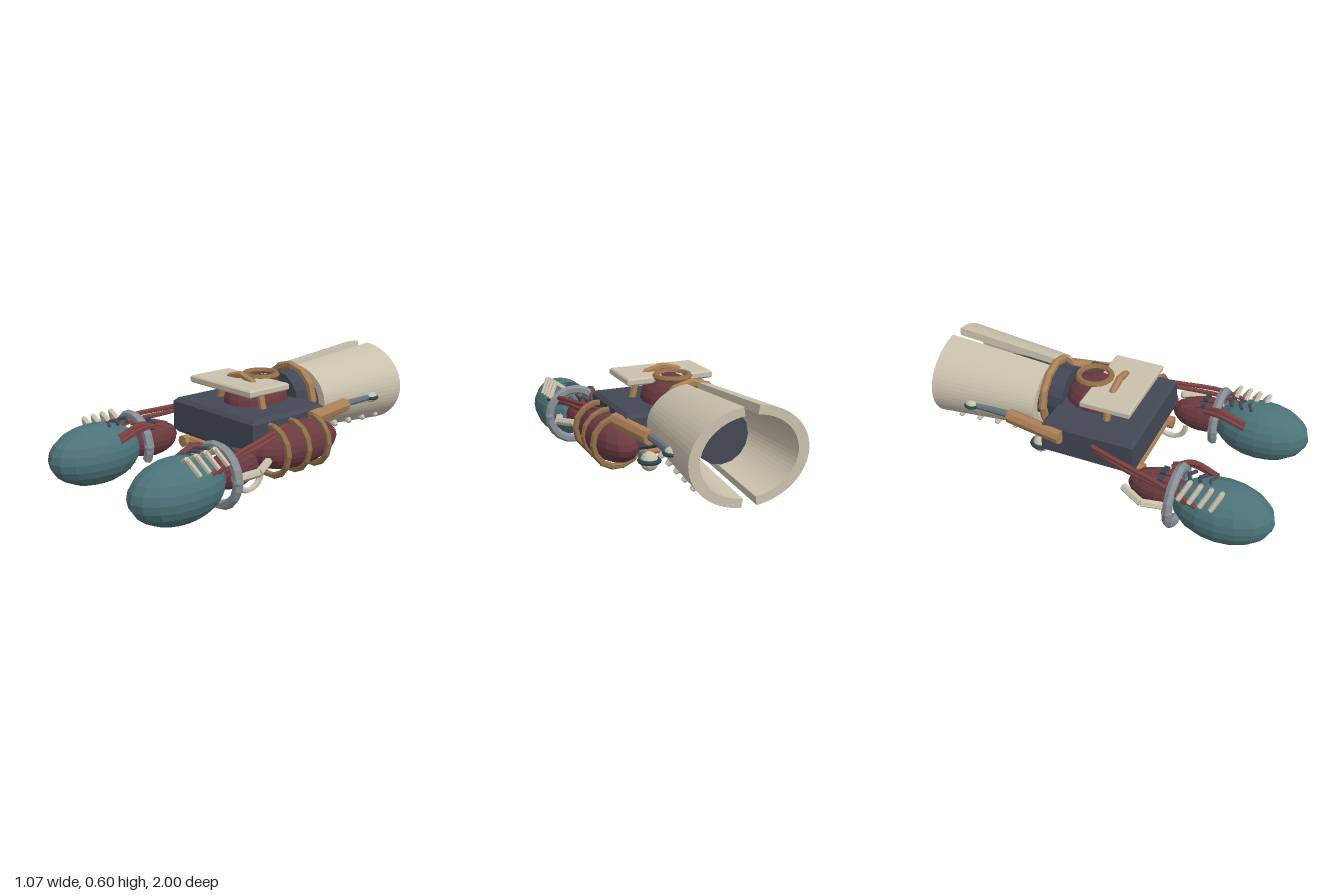
import * as THREE from 'three';

const mat = (name, color) => {
  const m = new THREE.MeshStandardMaterial({ color });
  m.name = name;
  return m;
};
const M = {
  teal: mat('teal', 0x4c7379),
  darkTeal: mat('dark teal', 0x2c4850),
  bone: mat('bone', 0xc9c1ac),
  navy: mat('navy', 0x434855),
  maroon: mat('maroon', 0x6a3a40),
  cord: mat('cord red', 0x7a4040),
  tan: mat('tan', 0xab8056),
  brass: mat('brass', 0x927049),
  grey: mat('grey', 0x889097),
  steel: mat('steel', 0x667280),
};
const V = (x, y, z) => new THREE.Vector3(x, y, z);

export function createModel() {
  const root = new THREE.Group();
  root.name = 'model';

  // Adds a faceted mesh
  const add = (name, geo, material, x = 0, y = 0, z = 0, parent = root) => {
    const g = geo.index ? geo.toNonIndexed() : geo;
    g.computeVertexNormals();
    const mesh = new THREE.Mesh(g, material);
    mesh.name = name;
    mesh.position.set(x, y, z);
    parent.add(mesh);
    return mesh;
  };
  const ball = (name, m, x, y, z, rx, ry, rz, parent, w = 16, h = 12) =>
    add(name, new THREE.SphereGeometry(1, w, h).scale(rx, ry, rz), m, x, y, z, parent);
  const ring = (name, m, x, y, z, R, t, parent, seg = 16, arc = Math.PI * 2, start = 0) =>
    add(name, new THREE.TorusGeometry(R, t, 6, seg, arc).rotateZ(start), m, x, y, z, parent);
  // Straight bar between two points
  const bar = (name, m, a, b, r, parent, sides = 8, r2 = r) => {
    const d = b.clone().sub(a);
    const mesh = add(name, new THREE.CylinderGeometry(r2, r, d.length(), sides), m, 0, 0, 0, parent);
    mesh.position.copy(a).add(b).multiplyScalar(0.5);
    mesh.quaternion.setFromUnitVectors(V(0, 1, 0), d.normalize());
    return mesh;
  };
  const tube = (name, m, pts, r, parent) =>
    add(name, new THREE.TubeGeometry(new THREE.CatmullRomCurve3(pts), 12, r, 6), m, 0, 0, 0, parent);
  // Box with bevelled edges, centred
  const bevelBox = (name, m, w, h, d, b, x, y, z) => {
    const s = new THREE.Shape();
    const X = w / 2 - b, Z = d / 2 - b;
    s.moveTo(-X, -Z).lineTo(X, -Z).lineTo(X, Z).lineTo(-X, Z).closePath();
    const g = new THREE.ExtrudeGeometry(s, { depth: h - 2 * b, bevelSize: b, bevelThickness: b, bevelSegments: 1 });
    return add(name, g.translate(0, 0, b - h / 2).rotateX(-Math.PI / 2), m, x, y, z);
  };

  // Central body and underframe
  bevelBox('body', M.navy, 0.66, 0.2, 0.53, 0.02, 0, 0.295, -0.04);
  bar('frontCrossbar', M.tan, V(-0.24, 0.167, 0.2), V(0.24, 0.167, 0.2), 0.027, root);
  bar('rearCrossbar', M.tan, V(-0.24, 0.167, -0.24), V(0.24, 0.167, -0.24), 0.024, root);

  // Dome, neck and hoops
  ball('dome', M.maroon, 0, 0.385, -0.1, 0.155, 0.15, 0.2, root);
  bar('neck', M.navy, V(0, 0.37, -0.27), V(0, 0.37, -0.72), 0.155, root, 16, 0.14);
  ring('frontHoop', M.tan, 0, 0.37, 0.01, 0.18, 0.02, root, 12);
  ring('collar', M.tan, 0, 0.37, -0.37, 0.18, 0.023, root, 12);
  const topRing = ring('topRing', M.brass, 0, 0.53, -0.135, 0.09, 0.017, root);
  topRing.rotation.x = Math.PI / 2;

  // Top plate on short posts
  bevelBox('topPlate', M.bone, 0.49, 0.04, 0.28, 0.008, 0, 0.508, 0.027);
  for (const s of [-1, 1]) bar('platePost', M.tan, V(s * 0.1, 0.4, -0.08), V(s * 0.1, 0.49, -0.08), 0.014, root);

  // Flared split sleeve: two half shells
  const shell = (s) => {
    const gap = 0.13, a0 = -Math.PI / 2 + gap, a1 = Math.PI / 2 - gap;
    const sh = new THREE.Shape();
    sh.absarc(0, 0, 0.306, a0, a1, false);
    sh.absarc(0, 0, 0.25, a1, a0, true);
    const g = new THREE.ExtrudeGeometry(sh, { depth: 0.61, bevelEnabled: false, curveSegments: 14, steps: 1 });
    if (s < 0) g.rotateZ(Math.PI);
    const p = g.attributes.position;
    for (let i = 0; i < p.count; i++) {
      const t = p.getZ(i) / 0.61;
      const k = 1 - 0.18 * t;
      p.setXY(i, p.getX(i) * k, p.getY(i) * k * (0.785 - 0.025 * t));
    }
    add(s > 0 ? 'leftSleeveHalf' : 'rightSleeveHalf', g, M.bone, 0, 0.362, -1);
  };

  for (const s of [-1, 1]) {
    const side = new THREE.Group();
    side.name = s > 0 ? 'leftSide' : 'rightSide';
    root.add(side);
    shell(s);

    // Studs along the lower sleeve
    for (let i = 0; i < 5; i++) {
      const z = -0.43 - i * 0.112, k = 1 + i * 0.04;
      bar('sleeveStud', M.bone, V(s * 0.165 * k, 0.225, z), V(s * 0.2 * k, 0.196, z), 0.028, side, 8, 0.012);
    }

    // Telescoping strut to the sleeve
    bar('strutSheath', M.tan, V(s * 0.345, 0.34, -0.18), V(s * 0.285, 0.34, -0.52), 0.04, side);
    bar('strutRod', M.steel, V(s * 0.285, 0.345, -0.5), V(s * 0.277, 0.342, -0.76), 0.019, side);
    ball('strutPivot', M.bone, s * 0.28, 0.342, -0.76, 0.033, 0.03, 0.04, side, 10, 8);
    const pr = ring('strutPivotRing', M.darkTeal, s * 0.28, 0.342, -0.76, 0.034, 0.01, side, 12);
    pr.rotation.x = Math.PI / 2;

    // Underframe rail with rear ball joint
    bar('rail', M.tan, V(s * 0.225, 0.165, -0.24), V(s * 0.225, 0.165, 0.25), 0.035, side);
    bar('railRod', M.steel, V(s * 0.225, 0.165, -0.2), V(s * 0.225, 0.16, -0.36), 0.02, side);
    ball('rearBall', M.bone, s * 0.228, 0.158, -0.365, 0.048, 0.052, 0.048, side, 12, 8);
    const br = ring('rearBallRing', M.darkTeal, s * 0.228, 0.163, -0.365, 0.052, 0.012, side, 12);
    br.rotation.x = Math.PI / 2;

    // Pod, forearm and wrist ring
    ball('pod', M.teal, s * 0.358, 0.17, 0.73, 0.165, 0.165, 0.268, side);
    ball('forearm', M.maroon, s * 0.34, 0.185, 0.38, 0.088, 0.098, 0.17, side, 14, 10);
    ring('wristRing', M.grey, s * 0.36, 0.186, 0.485, 0.15, 0.026, side, 16, Math.PI * 5 / 3,
      s > 0 ? Math.PI * 1.5 : Math.PI * 11 / 6);
    for (const e of [-1, 1]) ball('wristBolt', M.grey, s * 0.36 + e * 0.152, 0.19, 0.485, 0.025, 0.025, 0.03, side, 8, 6);

    // Knuckle ribs with dark rods across the pod
    for (let i = 0; i < 4; i++) {
      const z = 0.55 + i * 0.056, d = i * 0.004;
      const a = V(s * 0.49, 0.28 - d, z - 0.02), b = V(s * 0.445, 0.36 - d, z + 0.02), c = V(s * 0.39, 0.322 - d, z + 0.01);
      bar('knuckleOuter', M.bone, a, b, 0.014, side, 6);
      bar('knuckleInner', M.bone, b, c, 0.014, side, 6);
      bar('knuckleRod', M.navy, c, V(s * 0.345, 0.334 - d, z - 0.012), 0.01, side, 6);
      bar('knuckleRod', M.navy, V(s * 0.345, 0.334 - d, z - 0.012), V(s * 0.3, 0.325 - d, z + 0.012), 0.01, side, 6);
    }

    // Forearm tendons with small clasps
    for (let i = -1; i <= 1; i++) {
      const x = s * (0.34 + i * 0.042), dy = -0.016 * Math.abs(i);
      tube('tendon', M.cord, [V(x, 0.25 + dy, 0.27), V(x, 0.288 + dy, 0.38), V(x, 0.3 + dy, 0.49)], 0.012, side);
      add('clasp', new THREE.BoxGeometry(0.03, 0.02, 0.03), M.darkTeal, x, 0.296 + dy, 0.4, side);
    }

    // Inner finger strap beside the pod
    for (const o of [0, 0.022]) {
      tube('innerStrap', M.cord, [V(s * (0.27 - o), 0.28, 0.42), V(s * (0.235 - o / 2), 0.315 - o, 0.52),
        V(s * (0.235 - o / 2), 0.27 - o, 0.66)], 0.016, side);
    }

    // Cords from body to wrist
    for (const o of [0, 0.028]) {
      tube('cord', M.cord, [V(s * 0.345, 0.335 - o / 2, 0), V(s * 0.4, 0.32 - o, 0.22),
        V(s * (0.455 - o / 2), 0.3 - o, 0.46), V(s * (0.475 - o / 2), 0.25 - o, 0.62)], 0.014, side);
    }

    // Bone bracket outside the forearm
    const p = [V(s * 0.44, 0.215, 0.22), V(s * 0.5, 0.2, 0.34), V(s * 0.455, 0.18, 0.47)];
    bar('bracketRear', M.bone, p[0], p[1], 0.022, side, 6);
    bar('bracketFront', M.bone, p[1], p[2], 0.022, side, 6);
  }

  // Banded muscle on the left flank
  ball('flankMuscle', M.maroon, 0.335, 0.225, -0.065, 0.135, 0.125, 0.305, root, 16, 12);
  for (const z of [0.107, -0.043, -0.193]) ring('muscleBand', M.brass, 0.335, 0.222, z, 0.135, 0.018, root, 14);

  // Bone hook under the left front
  const hook = ring('hook', M.bone, 0.29, 0.105, 0.215, 0.088, 0.016, root, 14, Math.PI * 1.15, Math.PI * 0.93);
  hook.rotation.y = Math.PI / 2;

  return root;
}
